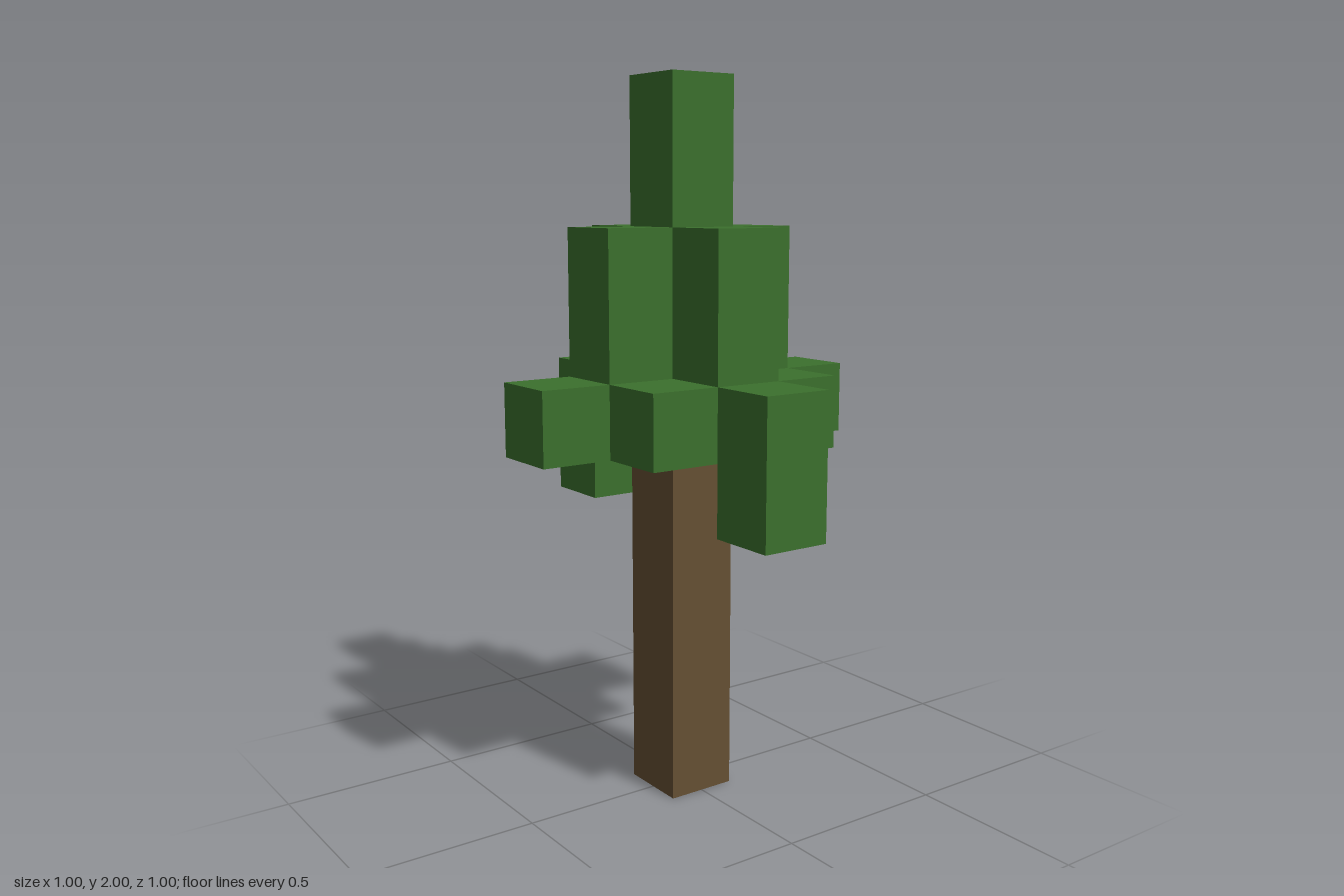
import * as THREE from 'three';

const CELL = 0.2;

export function createModel() {
  const group = new THREE.Group();
  const leaf = new THREE.MeshStandardMaterial({ color: 0x3b702d });
  leaf.name = 'leaf green';
  const bark = new THREE.MeshStandardMaterial({ color: 0x655033 });
  bark.name = 'bark brown';

  // One square column on grid cell (i, k), from height y0 to y1
  function column(name, material, i, k, y0, y1) {
    const mesh = new THREE.Mesh(new THREE.BoxGeometry(CELL, y1 - y0, CELL), material);
    mesh.name = name;
    mesh.position.set(i * CELL, (y0 + y1) / 2, k * CELL);
    group.add(mesh);
  }

  column('trunk', bark, 0, 0, 0, 1);
  column('crownTop', leaf, 0, 0, 1, 2);

  for (const s of [-1, 1]) {
    // Tall inner foliage around the crown
    column('innerFoliageSide', leaf, s, 0, 1, 1.6);
    column('innerFoliageFrontBack', leaf, 0, s, 1, 1.6);
    // Outer branches: the side ones droop, the front and back ones are short
    column('droopingBranch', leaf, 2 * s, 0, 0.8, 1.2);
    column('shortBranch', leaf, 0, 2 * s, 1, 1.2);
  }

  // Low corner foliage, absent at the front on the -x side
  for (const [i, k] of [[1, 1], [1, -1], [-1, -1]]) column('cornerFoliage', leaf, i, k, 1, 1.2);

  return group;
}
